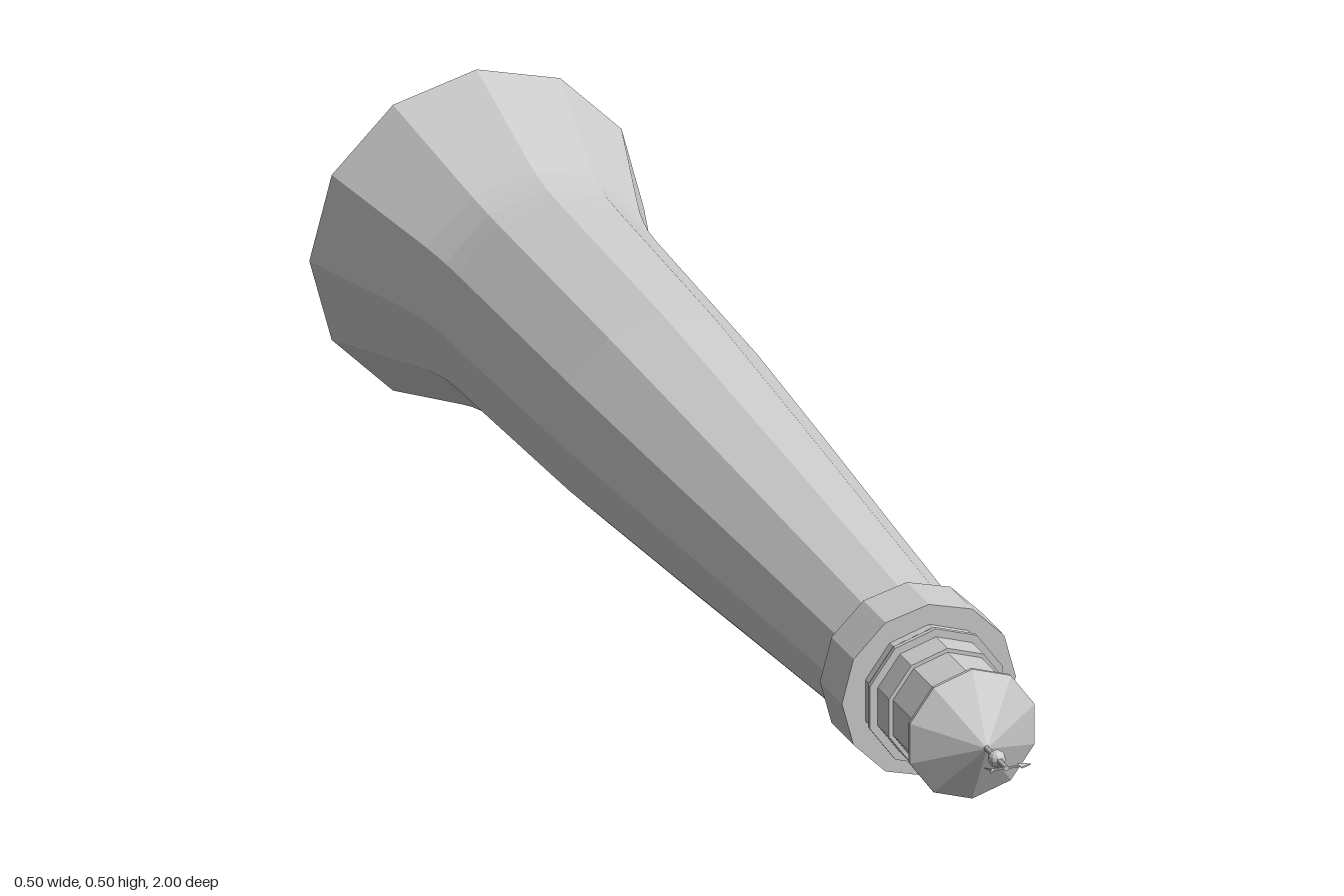
import * as THREE from 'three';

const material = new THREE.MeshStandardMaterial({ color: 0xcccccc, flatShading: true, side: THREE.DoubleSide });
const AXIS_Y = 0.25; // height of the lying tower's axis

// Faceted turned part along z; profile is a list of [z, radius]
function turned(name, sides, profile) {
  const points = profile.map(([z, r]) => new THREE.Vector2(r, z));
  const geometry = new THREE.LatheGeometry(points, sides);
  geometry.rotateX(Math.PI / 2);
  const mesh = new THREE.Mesh(geometry, material);
  mesh.name = name;
  mesh.position.y = AXIS_Y;
  return mesh;
}

export function createModel() {
  const model = new THREE.Group();
  model.name = 'lighthouse';

  // Hollow tapering shaft with a flared, open foot
  model.add(turned('tower', 12, [
    [-1, 0.25], [-0.81, 0.191], [-0.785, 0.184], [-0.76, 0.179], [-0.735, 0.175], [-0.70, 0.173],
    [-0.3, 0.162], [0, 0.145], [0.3, 0.127], [0.595, 0.11],
  ]));

  // Gallery with a chamfered underside
  model.add(turned('gallery', 12, [
    [0.595, 0.11], [0.617, 0.13], [0.70, 0.13], [0.70, 0],
  ]));

  // Stepped collar below the lantern
  model.add(turned('collar', 10, [
    [0.70, 0.1], [0.713, 0.1], [0.713, 0.092], [0.72, 0.092],
    [0.72, 0.104], [0.727, 0.104], [0.727, 0.092], [0.77, 0.092], [0.77, 0.085],
  ]));

  model.add(turned('lantern', 10, [[0.70, 0.086], [0.86, 0.086]]));
  model.add(turned('roof', 10, [[0.858, 0], [0.858, 0.098], [0.863, 0.098], [0.916, 0.004]]));

  // Finial: rod and ball
  model.add(turned('finialRod', 8, [[0.91, 0.004], [0.992, 0.004], [0.992, 0]]));
  const ball = new THREE.Mesh(new THREE.SphereGeometry(0.0125, 10, 8), material);
  ball.name = 'finialBall';
  ball.position.set(0, AXIS_Y, 0.955);
  model.add(ball);

  // Flat arrow-shaped weather vane, lying in the x-z plane
  const outline = [
    [-0.028, 0.01], [-0.018, 0.002], [0.02, 0.002], [0.02, 0.008], [0.037, 0],
    [0.02, -0.008], [0.02, -0.002], [-0.018, -0.002], [-0.028, -0.01], [-0.022, 0],
  ];
  const shape = new THREE.Shape(outline.map(([x, y]) => new THREE.Vector2(x, y)));
  const vaneGeometry = new THREE.ExtrudeGeometry(shape, { depth: 0.002, bevelEnabled: false });
  vaneGeometry.translate(0, 0, -0.001).rotateX(Math.PI / 2);
  const vane = new THREE.Mesh(vaneGeometry, material);
  vane.name = 'weatherVane';
  vane.position.set(0, AXIS_Y, 0.99);
  model.add(vane);

  return model;
}
